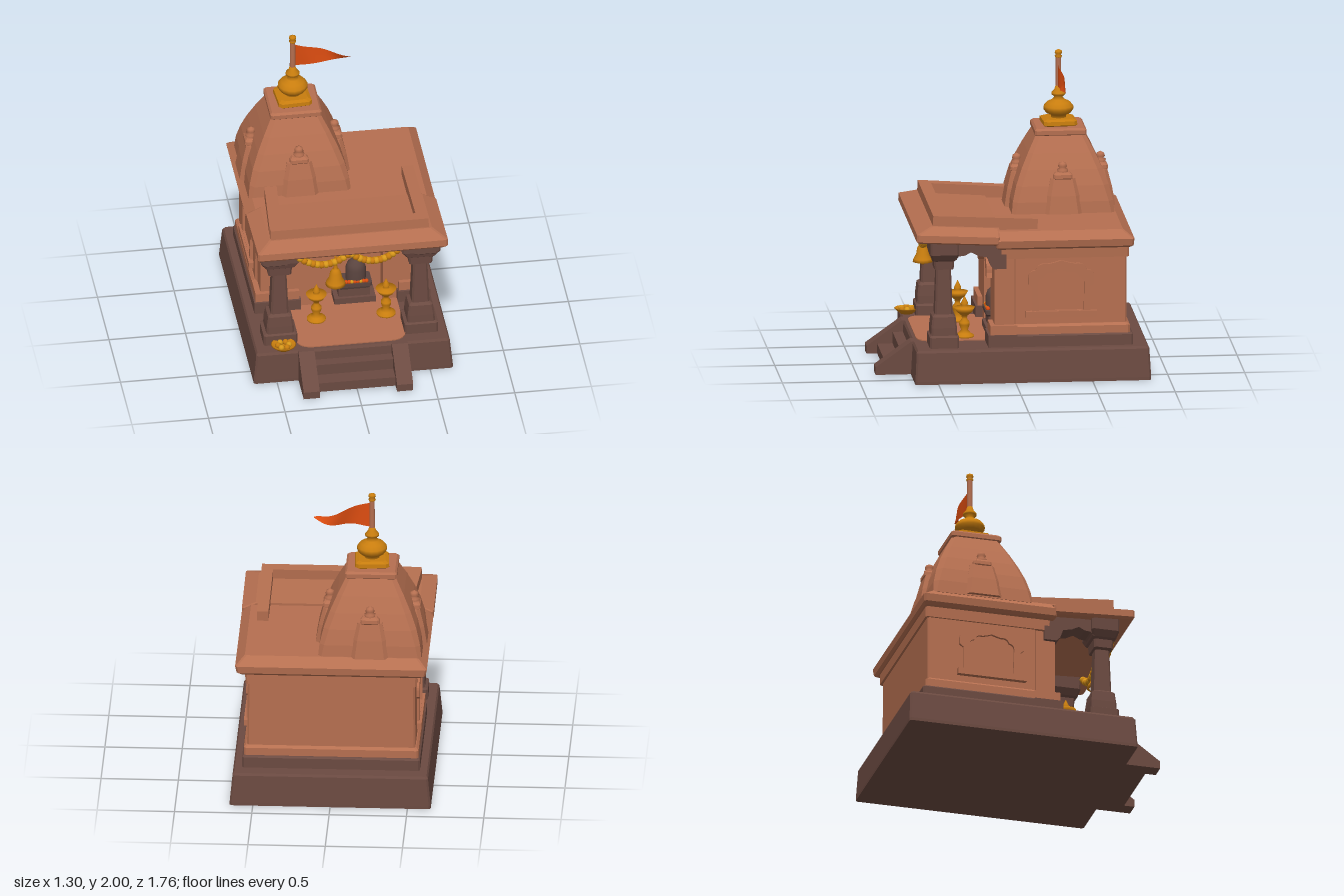
import * as THREE from 'three';

const mat = (name, color) => Object.assign(new THREE.MeshStandardMaterial({ color }), { name });
const sandstone = mat('sandstone', 0xb56f50);
const darkStone = mat('dark stone', 0x6b4a41);
const gold = mat('gold', 0xc87d0e);
const marigold = mat('marigold', 0xd8981a);
const saffron = mat('saffron', 0xdb4c10);
const idolStone = mat('idol stone', 0x5a443f);
saffron.side = THREE.DoubleSide;

function add(parent, name, geo, material, x = 0, y = 0, z = 0) {
  const m = new THREE.Mesh(geo, material);
  m.name = name;
  m.position.set(x, y, z);
  parent.add(m);
  return m;
}

// Stack of rectangles with clipped corners; row = [y, halfX, halfZ, centreX, centreZ, clip]
function loft(rows) {
  const rings = rows.map(([y, hx, hz, cx = 0, cz = 0, c = 0.012]) => [
    [hx, hz - c], [hx, c - hz], [hx - c, -hz], [c - hx, -hz],
    [-hx, c - hz], [-hx, hz - c], [c - hx, hz], [hx - c, hz],
  ].map(([x, z]) => [cx + x, y, cz + z]));
  const pos = [];
  const tri = (...p) => p.forEach((v) => pos.push(...v));
  for (let j = 0; j + 1 < rings.length; j++) {
    for (let i = 0; i < 8; i++) {
      const k = (i + 1) % 8, a = rings[j], b = rings[j + 1];
      tri(a[i], a[k], b[k]);
      tri(a[i], b[k], b[i]);
    }
  }
  const bottom = rings[0], top = rings[rings.length - 1];
  for (let i = 1; i < 7; i++) {
    tri(top[0], top[i], top[i + 1]);
    tri(bottom[0], bottom[i + 1], bottom[i]);
  }
  const g = new THREE.BufferGeometry();
  g.setAttribute('position', new THREE.Float32BufferAttribute(pos, 3));
  g.computeVertexNormals();
  return g;
}

const block = (x0, x1, y0, y1, z0, z1) =>
  new THREE.BoxGeometry(x1 - x0, y1 - y0, z1 - z0).translate((x0 + x1) / 2, (y0 + y1) / 2, (z0 + z1) / 2);
const lathe = (pts, n = 16) => new THREE.LatheGeometry(pts.map((p) => new THREE.Vector2(...p)), n);
const extrude = (shape, depth) => new THREE.ExtrudeGeometry(shape, { depth, bevelEnabled: false, curveSegments: 6 });
const polygon = (pts) => new THREE.Shape(pts.map((p) => new THREE.Vector2(...p)));
// Profile drawn in (z, y), extruded across x from x0 to x1
const sideProfile = (pts, x0, x1) => extrude(polygon(pts), x1 - x0).rotateY(-Math.PI / 2).translate(x1, 0, 0);

// Cusped arch from (cx + w, s) over the apex t to (cx - w, s); dir -1 reverses it
function cuspedArch(path, cx, w, s, t, dir = 1) {
  const h = t - s;
  const knots = [[1, 0], [0.78, 0.5], [0.42, 0.82], [0, 1], [-0.42, 0.82], [-0.78, 0.5], [-1, 0]];
  const ctrl = [[1.02, 0.45], [0.68, 0.9], [0.2, 0.88], [-0.2, 0.88], [-0.68, 0.9], [-1.02, 0.45]];
  const at = ([a, b]) => [cx + dir * w * a, s + h * b];
  path.lineTo(...at(knots[0]));
  ctrl.forEach((c, i) => path.quadraticCurveTo(...at(c), ...at(knots[i + 1])));
}

function buildBase(g) {
  add(g, 'plinth', loft([[0, 0.65, 0.765, 0, -0.115], [0.02, 0.65, 0.765, 0, -0.115],
    [0.205, 0.632, 0.755, 0, -0.115], [0.22, 0.622, 0.745, 0, -0.115]]), darkStone);
  [[0.07, 0.81], [0.145, 0.71]].forEach(([y, z]) => add(g, 'step', block(-0.27, 0.26, 0.005, y, 0.55, z), darkStone));
  const cheek = [[0.6, 0.005], [0.88, 0.005], [0.88, 0.055], [0.65, 0.22], [0.6, 0.22]];
  [-0.36, 0.25].forEach((x) => add(g, 'stairCheek', sideProfile(cheek, x, x + 0.105), darkStone));
  // porch floor with rounded front corners
  const f = new THREE.Shape();
  f.moveTo(-0.36, 0).lineTo(-0.36, -0.5).quadraticCurveTo(-0.36, -0.61, -0.25, -0.61);
  f.lineTo(0.25, -0.61).quadraticCurveTo(0.36, -0.61, 0.36, -0.5).lineTo(0.36, 0);
  add(g, 'porchFloor', extrude(f, 0.007).rotateX(-Math.PI / 2), sandstone, 0, 0.22, 0);
}

function buildSanctum(g) {
  add(g, 'sanctumWalls', loft([[0.22, 0.545, 0.365, 0, -0.365], [0.9, 0.54, 0.365, 0, -0.365]]), sandstone);
  add(g, 'footing', loft([[0.22, 0.575, 0.385, 0, -0.385], [0.29, 0.575, 0.385, 0, -0.385],
    [0.3, 0.565, 0.38, 0, -0.38]]), darkStone).scale.z = 0.999;
  add(g, 'baseMoulding', loft([[0.3, 0.565, 0.375, 0, -0.375], [0.35, 0.565, 0.375, 0, -0.375],
    [0.365, 0.55, 0.365, 0, -0.365]]), sandstone);
  add(g, 'topMoulding', loft([[0.8, 0.553, 0.42, 0, -0.325], [0.88, 0.558, 0.42, 0, -0.325]]), sandstone);
  // front wall with cusped doorway, and the footings beside it
  const wall = new THREE.Shape();
  wall.moveTo(-0.53, 0.22).lineTo(-0.17, 0.22);
  cuspedArch(wall, 0.05, 0.22, 0.66, 0.79, -1);
  wall.lineTo(0.27, 0.22).lineTo(0.53, 0.22).lineTo(0.53, 0.9).lineTo(-0.53, 0.9);
  add(g, 'doorWall', extrude(wall, 0.125), sandstone);
  add(g, 'alcoveBack', block(-0.18, 0.28, 0.22, 0.81, -0.01, 0.012), sandstone);
  [[-0.575, -0.27], [0.36, 0.575]].forEach(([a, b]) => {
    add(g, 'frontFooting', block(a, b, 0.22, 0.3, -0.02, 0.17), darkStone);
    add(g, 'frontMoulding', block(a + 0.01, b - 0.01, 0.3, 0.36, -0.02, 0.155), sandstone);
  });
  const trim = new THREE.Shape();
  trim.moveTo(-0.19, 0.63).lineTo(-0.25, 0.63);
  cuspedArch(trim, 0.05, 0.29, 0.66, 0.84, -1);
  trim.lineTo(0.35, 0.63).lineTo(0.29, 0.63);
  cuspedArch(trim, 0.05, 0.215, 0.655, 0.785);
  add(g, 'doorArch', extrude(trim, 0.04), sandstone, 0, 0, 0.12);

  // blind arched windows on both sides
  const frame = new THREE.Shape();
  frame.moveTo(-0.19, 0.45).lineTo(0.19, 0.45).lineTo(0.19, 0.61).lineTo(0.215, 0.63);
  cuspedArch(frame, 0, 0.215, 0.66, 0.785);
  frame.lineTo(-0.215, 0.63).lineTo(-0.19, 0.61);
  const hole = new THREE.Path();
  hole.moveTo(-0.145, 0.45 + 0.005).lineTo(0.145, 0.455);
  cuspedArch(hole, 0, 0.15, 0.62, 0.72);
  hole.lineTo(-0.145, 0.455);
  frame.holes.push(hole);
  [1, -1].forEach((s) => {
    const w = new THREE.Group();
    w.name = 'sideWindow';
    w.position.set(s * 0.53, 0, -0.305);
    w.rotation.y = s * Math.PI / 2;
    add(w, 'windowFrame', extrude(frame, 0.03), sandstone);
    add(w, 'windowSill', block(-0.23, 0.23, 0.41, 0.452, 0, 0.045), sandstone);
    g.add(w);
  });

  // altar with idol and offerings
  add(g, 'altarFoot', block(-0.05, 0.22, 0.22, 0.27, 0.01, 0.15), darkStone);
  add(g, 'altarBase', block(-0.02, 0.185, 0.27, 0.335, 0.01, 0.13), darkStone);
  add(g, 'altarSlab', loft([[0.335, 0.1, 0.065, 0.083, 0.08], [0.35, 0.115, 0.07, 0.083, 0.08],
    [0.375, 0.115, 0.07, 0.083, 0.08]]), idolStone);
  add(g, 'idol', lathe([[0, 0.15], [0.03, 0.143], [0.055, 0.12], [0.066, 0.085], [0.066, 0]].reverse()), idolStone, 0.1, 0.372, 0.075);
  for (let i = 0; i < 9; i++) {
    add(g, 'altarFlower', new THREE.IcosahedronGeometry(0.014, 1), i % 3 ? saffron : marigold, 0.01 + i * 0.019, 0.382, 0.132);
  }
}

function buildPorch(g) {
  const beam = [[0.545, 0.91], [0.545, 0.83], [0.52, 0.8], [0.38, 0.8], [0.36, 0.825], [0.32, 0.83], [0.28, 0.85],
    [0.23, 0.825], [0.175, 0.815], [0.155, 0.76], [0.13, 0.735], [0.05, 0.735], [0.05, 0.91]];
  [-1, 1].forEach((s) => {
    const p = add(g, 'pillar', loft([[0.22, 0.11, 0.095], [0.29, 0.11, 0.095], [0.3, 0.09, 0.085], [0.35, 0.088, 0.083],
      [0.42, 0.078, 0.075], [0.435, 0.058, 0.058], [0.73, 0.046, 0.048], [0.735, 0.075, 0.062], [0.79, 0.08, 0.066],
      [0.8, 0.095, 0.08], [0.84, 0.125, 0.092], [0.93, 0.13, 0.092]]), darkStone);
    p.position.set(s * 0.46, 0, 0.453);
    add(g, 'bracketBeam', sideProfile(beam, s * 0.485 - 0.07, s * 0.485 + 0.07), darkStone);
  });

  // marigold garland in two swags
  [[-0.35, -0.01], [-0.01, 0.31]].forEach(([a, b]) => {
    for (let i = 0; i <= 24; i++) {
      const t = i / 24, bead = new THREE.IcosahedronGeometry(0.021 + 0.003 * (i % 2), 1);
      add(g, 'garlandBead', bead, i % 4 < 2 ? marigold : gold, a + (b - a) * t, 0.895 - 0.3 * t * (1 - t), 0.55 + 0.008 * (i % 2));
    }
  });

  // bell
  add(g, 'bell', lathe([[0.05, 0], [0.066, 0], [0.06, 0.02], [0.043, 0.05], [0.036, 0.09], [0.022, 0.115], [0.01, 0.12],
    [0.014, 0.135], [0.008, 0.15], [0.006, 0.27]]), gold, -0.1, 0.645, 0.53);
  add(g, 'bellClapper', new THREE.SphereGeometry(0.016, 10, 8), gold, -0.1, 0.64, 0.53);

  // standing oil lamps
  [-0.19, 0.265].forEach((x) => add(g, 'oilLamp', lathe([[0, 0], [0.062, 0], [0.062, 0.015], [0.038, 0.03], [0.022, 0.05],
    [0.034, 0.085], [0.034, 0.1], [0.016, 0.125], [0.02, 0.145], [0.05, 0.17], [0.068, 0.2], [0.022, 0.2], [0.02, 0.215],
    [0.024, 0.225], [0.012, 0.25], [0, 0.275]]), gold, x, 0.222, 0.295));

  // offering plate with blossoms
  add(g, 'offeringPlate', lathe([[0, 0], [0.04, 0], [0.055, 0.012], [0.082, 0.035], [0.076, 0.038], [0.045, 0.02], [0, 0.02]]),
    gold, -0.45, 0.222, 0.6);
  for (let i = 0; i < 6; i++) {
    const a = i * Math.PI / 3;
    add(g, 'plateBlossom', new THREE.IcosahedronGeometry(0.02, 1), i % 2 ? gold : marigold,
      -0.45 + 0.036 * Math.cos(a), 0.252, 0.6 + 0.036 * Math.sin(a));
  }
}

function buildRoof(g) {
  add(g, 'mainRoof', loft([[0.87, 0.585, 0.43, 0, -0.325], [0.885, 0.61, 0.445, 0, -0.325], [0.932, 0.62, 0.45, 0, -0.325],
    [0.985, 0.56, 0.415, 0, -0.29]]), sandstone);
  const porch = new THREE.Group();
  porch.name = 'porchRoof';
  porch.position.set(0, 0.9, 0.1);
  porch.rotation.x = -0.05;
  add(porch, 'porchRoofSlab', loft([[0, 0.6, 0.265, 0, 0.265], [0.012, 0.62, 0.27, 0, 0.27], [0.058, 0.62, 0.27, 0, 0.27],
    [0.1, 0.53, 0.22, 0, 0.22]]), sandstone);
  add(porch, 'frontParapet', block(-0.52, 0.51, 0.08, 0.165, 0.35, 0.43), sandstone);
  add(porch, 'sideParapet', block(0.435, 0.51, 0.07, 0.165, -0.25, 0.42), sandstone);
  const slanted = add(porch, 'sideParapet', block(-0.04, 0.04, 0.07, 0.165, -0.24, 0.35), sandstone, -0.455, 0, 0.055);
  slanted.rotation.y = -0.085;
  g.add(porch);
}

function buildTower(g) {
  const t = new THREE.Group();
  t.name = 'tower';
  t.position.set(-0.246, 0, -0.365);
  const sq = (y, h, c) => [y, h, h, 0, 0, c];
  add(t, 'spire', loft([sq(0.97, 0.335, 0.02), sq(1.06, 0.325, 0.03), sq(1.16, 0.3, 0.035), sq(1.26, 0.262, 0.035),
    sq(1.36, 0.215, 0.03), sq(1.47, 0.157, 0.025)]), sandstone);
  add(t, 'spireCap', loft([sq(1.46, 0.158), sq(1.468, 0.168), sq(1.495, 0.168), sq(1.508, 0.155)]), sandstone);
  for (let i = 0; i < 4; i++) {
    const n = new THREE.Group();
    n.name = 'miniSpire';
    n.rotation.y = i * Math.PI / 2;
    add(n, 'miniSpireBody', loft([[0.98, 0.12, 0.06, 0, 0.3, 0.025], [1.1, 0.105, 0.055, 0, 0.285, 0.025],
      [1.21, 0.08, 0.05, 0, 0.262, 0.02]]), sandstone);
    add(n, 'miniSpireCap', loft([[1.205, 0.06, 0.045, 0, 0.268], [1.212, 0.062, 0.05, 0, 0.268], [1.235, 0.06, 0.048, 0, 0.268],
      [1.25, 0.045, 0.035, 0, 0.268]]), sandstone);
    add(n, 'miniFinial', lathe([[0.034, 1.24], [0.036, 1.265], [0.02, 1.272], [0.03, 1.285], [0.024, 1.305], [0, 1.318]], 10),
      sandstone, 0, 0, 0.272);
    t.add(n);
  }
  // golden finial and flag pole
  add(t, 'finialBase', loft([sq(1.505, 0.098, 0.02), sq(1.515, 0.11, 0.02), sq(1.54, 0.108, 0.02), sq(1.55, 0.085, 0.02)]), gold)
    .rotation.y = 0.06;
  add(t, 'finialPot', lathe([[0.05, 1.545], [0.048, 1.565], [0.08, 1.58], [0.098, 1.605], [0.096, 1.625], [0.075, 1.65],
    [0.04, 1.667], [0.026, 1.685], [0.045, 1.7], [0.045, 1.712], [0.026, 1.735], [0.018, 1.76], [0, 1.76]]), gold);
  add(t, 'flagPole', new THREE.CylinderGeometry(0.017, 0.019, 0.24, 10), sandstone, 0, 1.85, 0);
  add(t, 'poleKnob', lathe([[0.02, 1.945], [0.024, 1.955], [0.016, 1.962], [0.024, 1.975], [0.022, 1.988], [0, 2]], 12), gold);

  const flag = new THREE.PlaneGeometry(1, 1, 16, 4);
  const p = flag.attributes.position;
  for (let i = 0; i < p.count; i++) {
    const u = p.getX(i) + 0.5, v = p.getY(i);
    const mid = 1.845 - 0.045 * u + 0.016 * Math.sin(u * 7) * u;
    const height = 0.16 * Math.pow(1 - u, 0.85) + 0.004;
    p.setXYZ(i, 0.015 + 0.362 * u, mid + v * height, 0.026 * Math.sin(u * 7.5 + v) * (0.3 + 0.7 * u));
  }
  flag.computeVertexNormals();
  add(t, 'flag', flag, saffron);
  g.add(t);
}

export function createModel() {
  const g = new THREE.Group();
  g.name = 'shrine';
  [buildBase, buildSanctum, buildPorch, buildRoof, buildTower].forEach((build) => build(g));
  return g;
}
